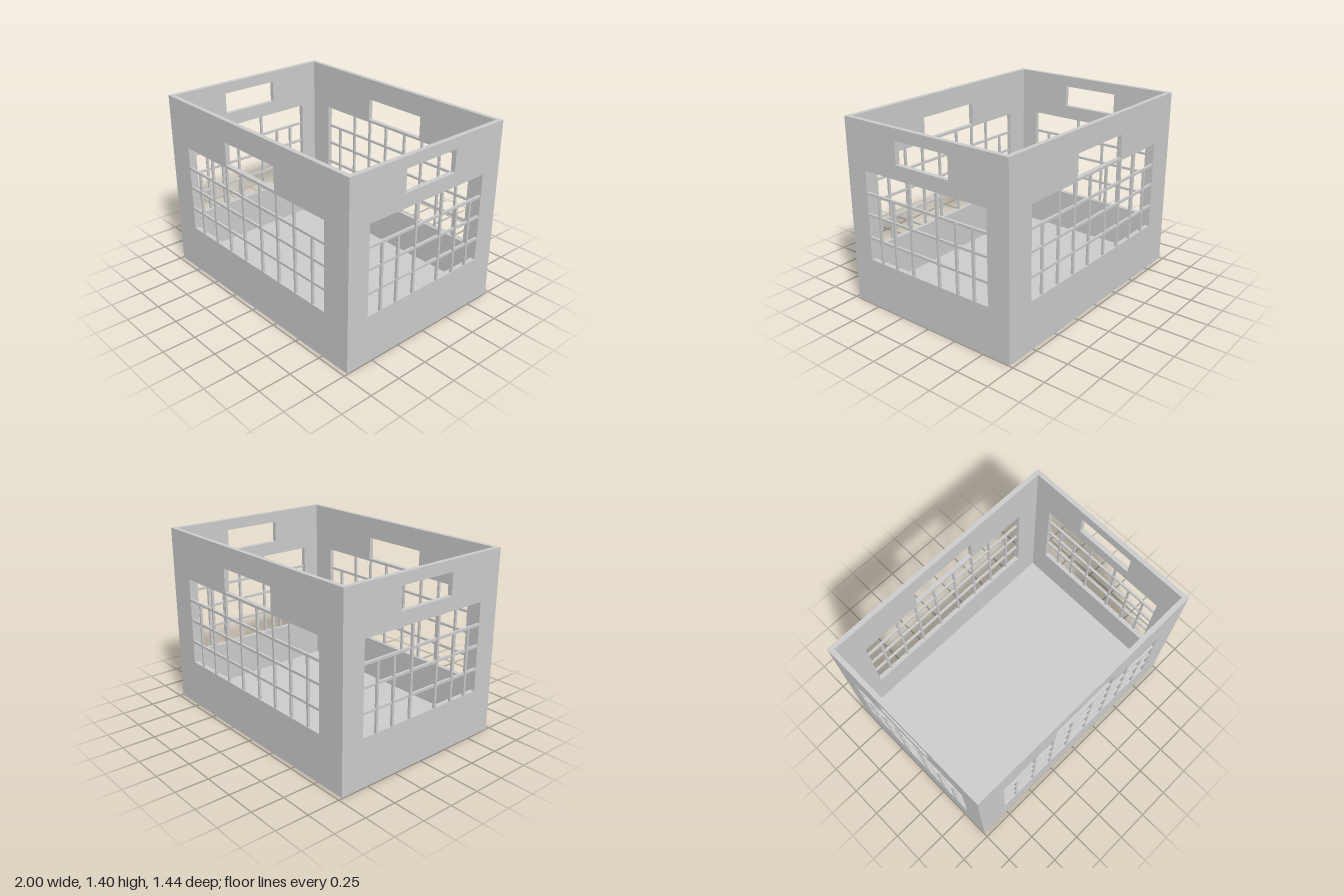
import * as THREE from 'three';

const material = new THREE.MeshStandardMaterial({ color: 0xcccccc, flatShading: true });
const X = 0.995, Z = 0.72, H = 1.405, T = 0.036, BAR = 0.018;

function rect(PathType, x0, y0, x1, y1) {
  const p = new PathType();
  p.moveTo(x0, y0);
  p.lineTo(x1, y0);
  p.lineTo(x1, y1);
  p.lineTo(x0, y1);
  p.closePath();
  return p;
}

function box(name, w, h, d, x, y, z) {
  const mesh = new THREE.Mesh(new THREE.BoxGeometry(w, h, d), material);
  mesh.name = name;
  mesh.position.set(x, y, z);
  return mesh;
}

// One wall facing +z: a panel with a grip hole and a barred window.
// The outer face lies at z = 0; "proud" is how far the bars stand out of it.
function makeWall(name, { half, win, grip, tall, short, proud }) {
  const wall = new THREE.Group();
  wall.name = name;
  const [y0, y1] = [0.366, 1.045];
  const shape = rect(THREE.Shape, -half, 0, half, H);
  shape.holes.push(rect(THREE.Path, -win, y0, win, y1));
  shape.holes.push(rect(THREE.Path, -grip[0], grip[1], grip[0], grip[2]));
  const geometry = new THREE.ExtrudeGeometry(shape, { depth: T, bevelEnabled: false });
  geometry.translate(0, 0, -T);
  const panel = new THREE.Mesh(geometry, material);
  panel.name = 'panel';
  wall.add(panel);

  // Lattice of bars near the outer face
  const z = proud - BAR / 2;
  for (const y of [0.537, 0.715, 0.876]) {
    wall.add(box('horizontalBar', 2 * win, BAR, BAR, 0, y, -BAR / 2 - 0.001));
  }
  const upright = (x, top) =>
    wall.add(box('verticalBar', BAR - 0.001, top - y0, BAR, x, (top + y0) / 2, z));
  for (const s of [-1, 1]) {
    tall.forEach((x) => upright(s * x, y1));
    short.forEach((x) => upright(s * x, 0.876));
  }
  return wall;
}

export function createModel() {
  const crate = new THREE.Group();
  crate.name = 'crate';

  const long = {
    half: X, win: 0.77, grip: [0.275, 1.065, 1.24],
    tall: [0.101, 0.286, 0.466], short: [0.645], proud: -0.002,
  };
  const end = {
    half: Z - T, win: 0.545, grip: [0.235, 1.152, 1.32],
    tall: [0.122], short: [0.284, 0.428], proud: 0.005,
  };

  // Four walls, turned to face outward
  const walls = [
    ['frontWall', long, 0, Z], ['leftWall', end, 1, X],
    ['backWall', long, 2, Z], ['rightWall', end, 3, X],
  ];
  for (const [name, spec, turn, distance] of walls) {
    const wall = makeWall(name, spec);
    const angle = turn * Math.PI / 2;
    wall.rotation.y = angle;
    wall.position.set(Math.sin(angle) * distance, 0, Math.cos(angle) * distance);
    crate.add(wall);
  }

  // Floor between the walls
  crate.add(box('floor', 2 * (X - T), 0.03, 2 * (Z - T), 0, 0.015, 0));
  return crate;
}
